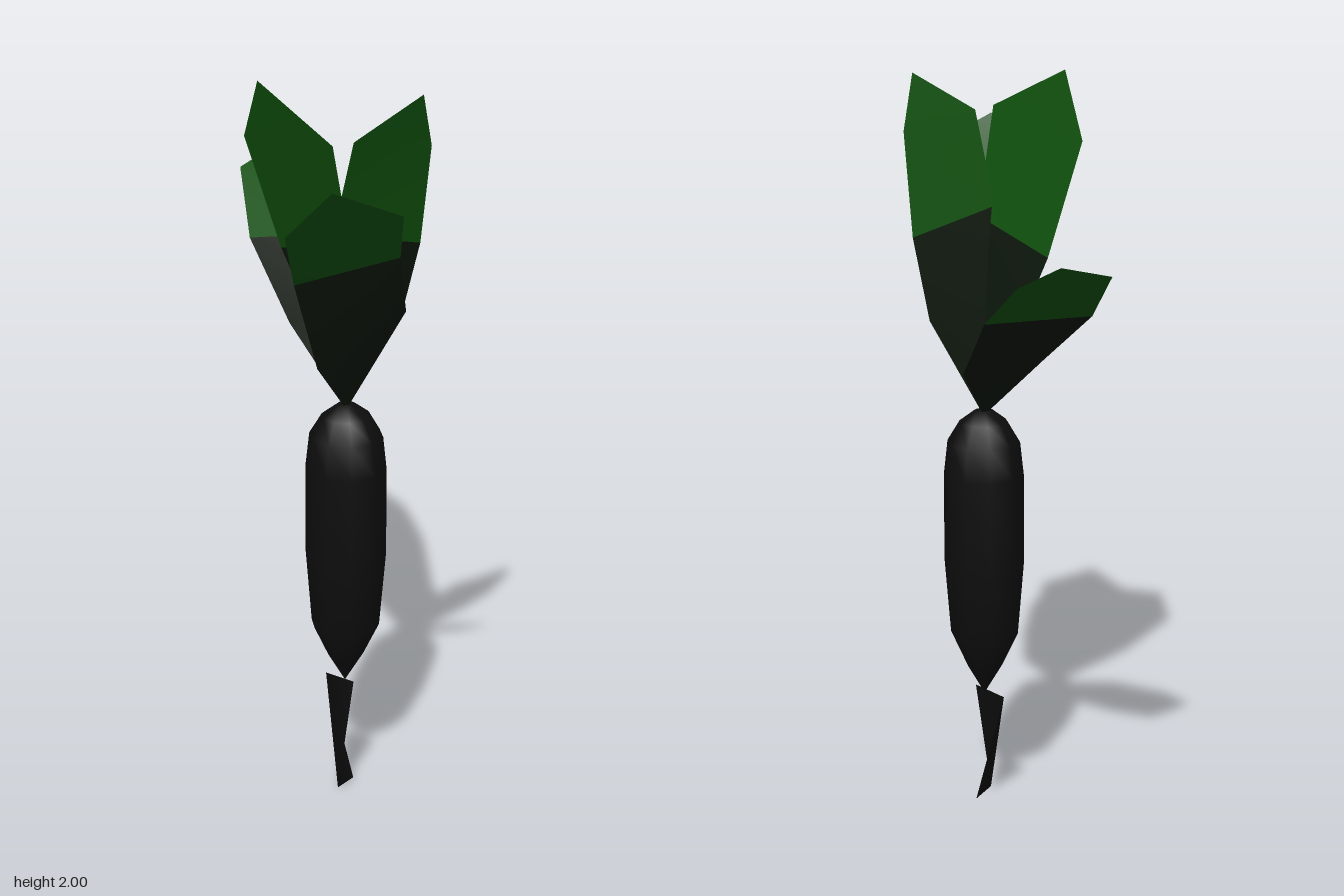
import * as THREE from 'three';

const AXIS_X = 0.105;
const material = (color) => new THREE.MeshStandardMaterial({ color, side: THREE.DoubleSide });
const bodyMaterial = material(0x0d0d0d);
const stalkMaterial = material(0x0c160b);
const tipMaterial = material(0x10500d);

// Surface joining successive rows of one or two points
function strip(name, rows, mat) {
  const positions = [], index = [];
  for (const [a, b = a] of rows) positions.push(...a, ...b);
  for (let i = 0; i < rows.length - 1; i++) {
    const k = i * 2;
    if (rows[i].length > 1) index.push(k, k + 1, k + 3);
    if (rows[i + 1].length > 1) index.push(k, k + 3, k + 2);
    else if (rows[i].length === 1) continue;
  }
  const geometry = new THREE.BufferGeometry();
  geometry.setAttribute('position', new THREE.Float32BufferAttribute(positions, 3));
  geometry.setIndex(index);
  geometry.computeVertexNormals();
  const mesh = new THREE.Mesh(geometry, mat);
  mesh.name = name;
  return mesh;
}

// Leaf: three points up each edge, then the tip
function leaf(name, left, right, tip) {
  const rows = left.map((p, i) => [p, right[i]]);
  const group = new THREE.Group();
  group.name = name;
  group.add(
    strip('leafBase', [[[AXIS_X, 1.1, 0]], rows[0], rows[1]], stalkMaterial),
    strip('leafTip', [rows[1], rows[2], [tip]], tipMaterial),
  );
  return group;
}

export function createModel() {
  const model = new THREE.Group();
  model.name = 'rootVegetable';

  // Swollen root body
  const profile = [[0, 0.315], [0.05, 0.4], [0.092, 0.49], [0.109, 0.7], [0.108, 0.94],
    [0.098, 1.03], [0.065, 1.085], [0.025, 1.115], [0, 1.118]];
  const body = new THREE.Mesh(
    new THREE.LatheGeometry(profile.map(([r, y]) => new THREE.Vector2(r, y)), 10), bodyMaterial);
  body.name = 'body';
  body.position.x = AXIS_X;
  body.rotation.y = 0.25;
  model.add(body);

  // Thin twisted tail below the body
  model.add(strip('tailRoot', [
    [[0.04, 0.315, 0.005], [0.145, 0.325, 0.01]],
    [[0.115, 0.005, -0.025], [0.13, 0.012, 0.055]],
  ], bodyMaterial));

  // Four leaves fanning from the crown
  model.add(
    leaf('lowBackLeaf',
      [[-0.015, 1.27, -0.22], [-0.19, 1.445, -0.34], [-0.365, 1.57, -0.425]],
      [[-0.11, 1.285, -0.015], [-0.345, 1.45, -0.11], [-0.51, 1.59, -0.245]],
      [-0.51, 1.64, -0.44]),
    leaf('tallFrontLeaf',
      [[0.015, 1.35, 0.04], [-0.04, 1.53, 0.09], [-0.085, 1.83, 0.175]],
      [[0.2, 1.35, 0.08], [0.26, 1.6, 0.16], [0.29, 1.885, 0.26]],
      [0.03, 2, 0.245]),
    leaf('tallSideLeaf',
      [[0.15, 1.35, 0.1], [0.21, 1.63, 0.17], [0.29, 1.88, 0.185]],
      [[0.205, 1.36, -0.1], [0.28, 1.57, -0.08], [0.345, 1.84, -0.04]],
      [0.38, 1.985, 0.035]),
    leaf('lowFrontLeaf',
      [[0.14, 1.26, 0.15], [0.2, 1.53, 0.3], [0.3, 1.7, 0.438]],
      [[0.355, 1.44, 0.06], [0.42, 1.615, 0.16], [0.51, 1.755, 0.255]],
      [0.445, 1.835, 0.433]),
  );
  return model;
}
